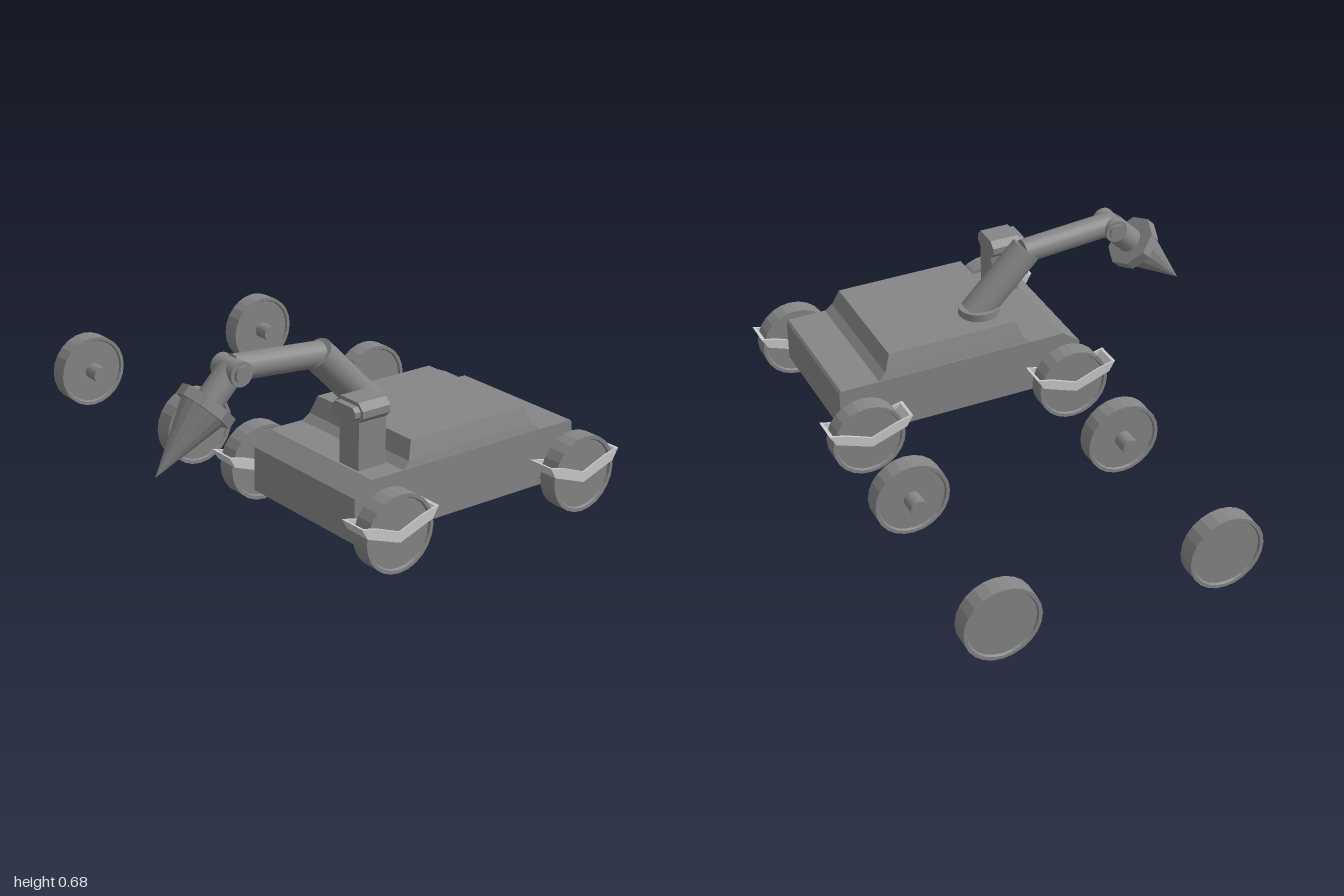
import * as THREE from 'three';

const dark = new THREE.MeshStandardMaterial({ color: 0x868686, flatShading: true });
const smooth = new THREE.MeshStandardMaterial({ color: 0x868686 });
const light = new THREE.MeshStandardMaterial({ color: 0xcccccc, flatShading: true });

function add(parent, name, geometry, material = dark) {
  const mesh = new THREE.Mesh(geometry, material);
  mesh.name = name;
  parent.add(mesh);
  return mesh;
}

// Outline in x/y, extruded from z0 to z1
function extrude(points, z0, z1) {
  const shape = new THREE.Shape(points.map(([x, y]) => new THREE.Vector2(x, y)));
  return new THREE.ExtrudeGeometry(shape, { depth: z1 - z0, bevelEnabled: false }).translate(0, 0, z0);
}

// Box whose bottom and top rectangles differ: [x0, x1, z0, z1, y]
function taperedBox(bottom, top) {
  const g = new THREE.BoxGeometry(1, 1, 1);
  const p = g.attributes.position;
  for (let i = 0; i < p.count; i++) {
    const r = p.getY(i) < 0 ? bottom : top;
    p.setXYZ(i, p.getX(i) < 0 ? r[0] : r[1], r[4], p.getZ(i) < 0 ? r[2] : r[3]);
  }
  g.computeVertexNormals();
  return g;
}

// Cylinder or cone running from point a to point b
function rod(a, b, ra, rb, sides) {
  const from = new THREE.Vector3(...a), to = new THREE.Vector3(...b);
  const dir = to.clone().sub(from);
  const g = new THREE.CylinderGeometry(rb, ra, dir.length(), sides);
  g.applyQuaternion(new THREE.Quaternion().setFromUnitVectors(new THREE.Vector3(0, 1, 0), dir.normalize()));
  const mid = from.add(to).multiplyScalar(0.5);
  return g.translate(mid.x, mid.y, mid.z);
}

// Wheel with dished faces and a stub axle; the outer face looks along +z
function makeWheel() {
  const wheel = new THREE.Group();
  wheel.name = 'wheel';
  const profile = [[0, -0.064], [0.126, -0.064], [0.13, -0.072], [0.143, -0.072],
    [0.143, 0], [0.13, 0], [0.126, -0.008], [0, -0.008]];
  const disc = new THREE.LatheGeometry(profile.map(([x, y]) => new THREE.Vector2(x, y)), 24);
  add(wheel, 'tyre', disc.rotateX(Math.PI / 2));
  add(wheel, 'stubAxle', rod([0, 0, -0.06], [0, 0, -0.13], 0.032, 0.032, 16), smooth);
  return wheel;
}

// Thin chevron frame wrapped round a wheel
function makeGuard() {
  const guard = new THREE.Group();
  guard.name = 'wheelGuard';
  const d = 0.053, t = 0.008;
  const chevron = [[-0.165, 0.21], [-0.14, 0.168], [0, 0.118], [0.14, 0.168], [0.165, 0.21],
    [0.1, 0.195], [0, 0.157], [-0.1, 0.195]];
  add(guard, 'guardPlate', extrude(chevron, d - t, d), light);
  add(guard, 'guardPlate', extrude(chevron, -d, t - d), light);
  for (const s of [-1, 1]) {
    const end = [[0.165, 0.21], [0.154, 0.208], [0.129, 0.172], [0.14, 0.168]].map(([x, y]) => [s * x, y]);
    add(guard, 'guardEnd', extrude(end, -d, d), light);
  }
  return guard;
}

export function createModel() {
  const model = new THREE.Group();
  model.name = 'armedRover';

  // Body with a sloped nose and a chamfered tail, and the raised deck
  const side = [[-0.29, 0.08], [0.66, 0.08], [0.69, 0.1], [0.703, 0.125], [0.703, 0.285], [0.695, 0.295],
    [-0.22, 0.297], [-0.29, 0.245]];
  add(model, 'chassis', extrude(side, 0.293, 0.858));
  const skirt = [-0.085, 0.545, 0.296, 0.857, 0.294];
  const waist = [-0.053, 0.515, 0.303, 0.851, 0.322];
  const crown = [-0.03, 0.49, 0.32, 0.832, 0.387];
  add(model, 'deckSkirt', taperedBox(skirt, waist));
  add(model, 'deck', taperedBox(waist, crown));

  // Four fitted wheels with guards, then four loose ones behind
  for (const x of [-0.2, 0.643]) {
    const rows = [[0.16, true], [0.99, false], [-0.175, false], [-1, true]];
    for (const [z, turned] of rows) {
      const wheel = makeWheel();
      wheel.position.set(x, 0.144, z);
      if (turned) wheel.rotation.y = Math.PI;
      model.add(wheel);
    }
    for (const z of [0.206, 0.946]) {
      const guard = makeGuard();
      guard.position.set(x - 0.008, 0, z);
      model.add(guard);
    }
  }

  // Camera mast with an eight-sided head and a smaller face plate
  const mast = new THREE.Group();
  mast.name = 'cameraMast';
  model.add(mast);
  add(mast, 'mastPost', new THREE.BoxGeometry(0.117, 0.2, 0.102).translate(-0.151, 0.38, 0.724));
  function octagonBlock(name, w, h, c, x0, x1) {
    const o = [[-w, -h + c], [-w + c, -h], [w - c, -h], [w, -h + c], [w, h - c], [w - c, h], [-w + c, h], [-w, h - c]];
    const g = extrude(o, x0, x1).rotateY(Math.PI / 2);
    add(mast, name, g.translate(0, 0.504, 0.723));
  }
  octagonBlock('cameraHead', 0.072, 0.037, 0.024, -0.21, -0.092);
  octagonBlock('cameraFace', 0.06, 0.024, 0.014, -0.234, -0.21);

  // Jointed arm
  const arm = new THREE.Group();
  arm.name = 'arm';
  arm.position.z = 0.45;
  model.add(arm);
  add(arm, 'armTurntable', rod([0.065, 0.38, 0], [0.065, 0.417, 0], 0.08, 0.08, 24), smooth);
  add(arm, 'upperArm', rod([0.085, 0.385, 0], [-0.138, 0.61, 0], 0.061, 0.061, 20), smooth);
  add(arm, 'forearm', rod([-0.125, 0.604, 0], [-0.495, 0.634, 0], 0.047, 0.047, 20), smooth);
  add(arm, 'wristPivot', rod([-0.497, 0.628, -0.06], [-0.497, 0.628, 0.06], 0.045, 0.045, 20), smooth);
  add(arm, 'pivotPin', rod([-0.497, 0.628, -0.072], [-0.497, 0.628, 0.072], 0.031, 0.031, 16), smooth);

  // Wrist, collar and pointed tip share one sloping axis
  const along = (s) => [-0.497 - s * 0.705, 0.628 - s * 0.709, 0];
  add(arm, 'wrist', rod(along(0), along(0.14), 0.05, 0.05, 16), smooth);
  add(arm, 'drillCollar', rod(along(0.13), along(0.17), 0.108, 0.108, 8).translate(0, 0, 0));
  add(arm, 'drillTip', rod(along(0.17), along(0.443), 0.086, 0, 16));

  return model;
}
